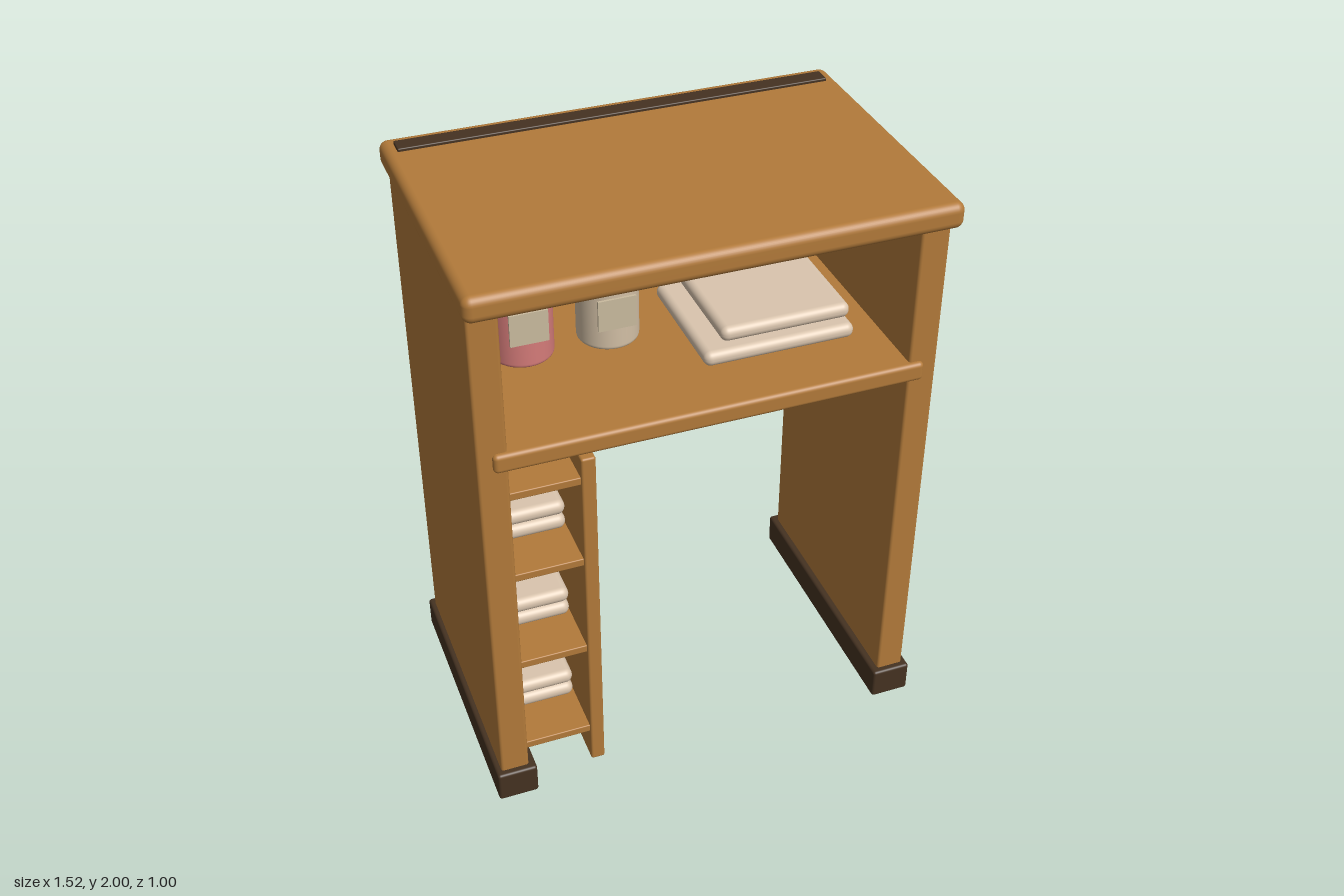
import * as THREE from 'three';
import { RoundedBoxGeometry } from 'three/addons/geometries/RoundedBoxGeometry.js';

const paint = (name, color) => {
  const m = new THREE.MeshStandardMaterial({ color });
  m.name = name;
  return m;
};

export function createModel() {
  const group = new THREE.Group();
  const wood = paint('oak wood', 0xb27a3a);
  const dark = paint('dark wood', 0x453221);
  const cloth = paint('folded cloth', 0xdac5ae);
  const pink = paint('pink glaze', 0xd47b79);
  const cream = paint('cream glaze', 0xd2bfa5);
  const paper = paint('label paper', 0xcabb9f);

  const add = (name, geometry, material, parent = group) => {
    const mesh = new THREE.Mesh(geometry, material);
    mesh.name = name;
    parent.add(mesh);
    return mesh;
  };
  // Rounded block given by its [min, max] extents on each axis
  const block = (name, material, [x0, x1], [y0, y1], [z0, z1], r = 0.008, parent = group) => {
    const mesh = add(name, new RoundedBoxGeometry(x1 - x0, y1 - y0, z1 - z0, 4, r), material, parent);
    mesh.position.set((x0 + x1) / 2, (y0 + y1) / 2, (z0 + z1) / 2);
    return mesh;
  };

  // Table top with a dark strip along the back
  block('tableTop', wood, [-0.755, 0.755], [1.905, 1.99], [-0.5, 0.5], 0.028);
  block('topStrip', dark, [-0.715, 0.715], [1.97, 2.0], [-0.45, -0.39], 0.004);

  // Side panels on dark feet
  for (const side of [-1, 1]) {
    const name = side > 0 ? 'left' : 'right';
    const span = (a, b) => (side > 0 ? [a, b] : [-b, -a]);
    block(name + 'SidePanel', wood, span(0.645, 0.74), [0.08, 1.93], [-0.445, 0.445], 0.01);
    block(name + 'Foot', dark, span(0.622, 0.758), [0, 0.113], [-0.468, 0.468], 0.01);
  }

  // Main shelf and back panel
  block('mainShelf', wood, [-0.692, 0.692], [1.36, 1.425], [-0.462, 0.462], 0.015);
  block('backPanel', wood, [-0.66, 0.66], [1.4, 1.92], [-0.435, -0.4], 0.004);

  // Narrow side rack: divider, small shelves and cloth stacks
  block('rackDivider', wood, [-0.422, -0.375], [0.04, 1.325], [-0.435, 0.435], 0.008);
  for (const y of [0.167, 0.535, 0.904, 1.224]) {
    block('rackShelf', wood, [-0.66, -0.41], [y, y + 0.028], [-0.425, 0.425], 0.004);
  }
  for (const y of [0.235, 0.602, 0.967]) {
    for (const layer of [0, 0.056]) {
      block('rackCloth', cloth, [-0.665, -0.437], [y + layer, y + layer + 0.052], [-0.11, 0.31], 0.025);
    }
  }

  // Folded cloths on the main shelf
  block('lowerCloth', cloth, [0.03, 0.532], [1.447, 1.498], [-0.16, 0.29], 0.024);
  block('upperCloth', cloth, [0.09, 0.52], [1.515, 1.566], [-0.12, 0.275], 0.024);

  // Jug: lathed body with neck and rim, loop handle and flat front label
  const jug = (name, material, x, h, r, labelBottom, labelTop) => {
    const part = new THREE.Group();
    part.name = name;
    part.position.set(x, 1.438, -0.02);
    group.add(part);

    const neck = r * 0.42;
    const profile = new THREE.Path();
    profile.moveTo(0, 0);
    profile.lineTo(r - 0.015, 0);
    profile.quadraticCurveTo(r, 0, r, 0.015);
    profile.lineTo(r, h * 0.68);
    profile.quadraticCurveTo(r, h * 0.8, neck, h * 0.89);
    add('jugBody', new THREE.LatheGeometry(profile.getPoints(8), 40), material, part);
    add('jugNeck', new THREE.CylinderGeometry(neck - 0.003, neck, h * 0.08, 32), material, part)
      .position.y = h * 0.9;
    add('jugRim', new THREE.CylinderGeometry(neck + 0.003, neck + 0.003, h * 0.07, 32), material, part)
      .position.y = h * 0.965;

    const handle = add('jugHandle', new THREE.TorusGeometry(0.047, 0.012, 12, 32), material, part);
    handle.position.set(r - 0.013, h * 0.645, 0);
    handle.scale.y = 1.05;

    const label = add('jugLabel', new THREE.BoxGeometry(0.124, labelTop - labelBottom, 0.008), paper, part);
    label.position.set(-0.002, (labelBottom + labelTop) / 2, r + 0.002);
  };
  jug('pinkJug', pink, -0.462, 0.337, 0.102, 0.093, 0.203);
  jug('creamJug', cream, -0.18, 0.305, 0.1, 0.082, 0.19);

  return group;
}
